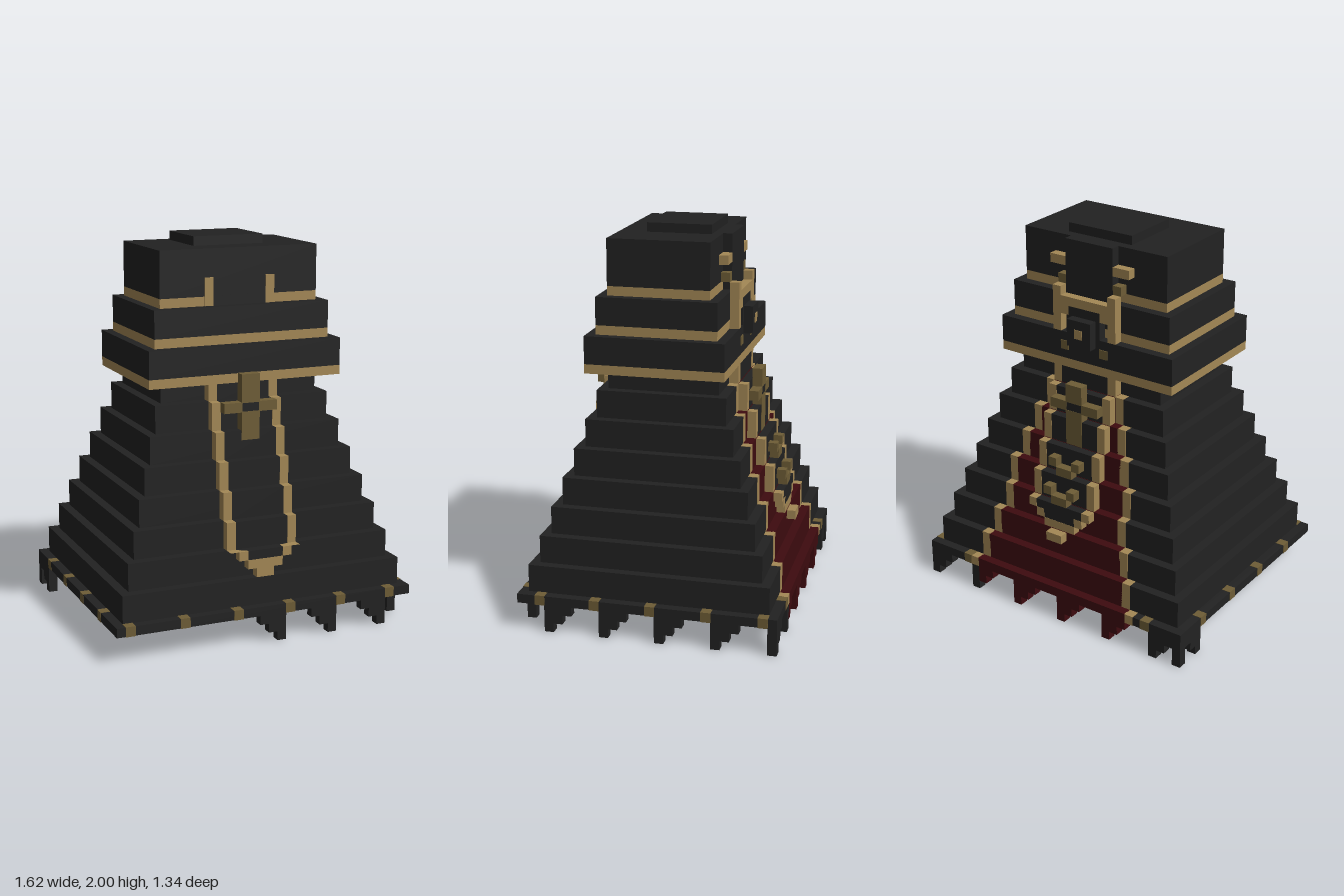
import * as THREE from 'three';

const U = 1 / 21; // edge of one block
const mat = (name, color) => {
  const m = new THREE.MeshStandardMaterial({ color });
  m.name = name;
  return m;
};

export function createModel() {
  const dark = mat('charcoal', 0x222222);
  const gold = mat('gold', 0xa48855);
  const brown = mat('bronze', 0x6e5d36);
  const red = mat('darkRed', 0x3e0b0f);
  const model = new THREE.Group();
  model.name = 'robe';

  // Box from block coordinates; g grows it slightly so it covers what it paints
  const box = (name, m, x0, x1, y0, y1, z0, z1, g = 0) => {
    const geo = new THREE.BoxGeometry((x1 - x0 + 2 * g) * U, (y1 - y0 + 2 * g) * U, (z1 - z0 + 2 * g) * U);
    const mesh = new THREE.Mesh(geo, m);
    mesh.position.set((x0 + x1) / 2 * U, (y0 + y1) / 2 * U, (z0 + z1) / 2 * U);
    mesh.name = name;
    model.add(mesh);
  };
  const pair = (name, m, x0, x1, ...rest) => {
    box(name, m, x0, x1, ...rest);
    box(name, m, -x1, -x0, ...rest);
  };
  // Hollow rectangular course of wall
  const ring = (name, m, x, y0, y1, zb, zf, t = 1.03) => {
    box(name, m, -x, x, y0, y1, zf - t, zf);
    box(name, m, -x, x, y0, y1, zb, zb + t);
    pair(name, m, x - t, x, y0, y1, zb + t, zf - t);
  };

  // Skirt tiers with the red back panel and its gold borders
  const P = 0.04;
  const borders = [10, 9, 8, 8, 7, 6, 5];
  for (let k = 0; k < 8; k++) {
    const y0 = 4 + 3 * k, y1 = Math.min(y0 + 3, 27), z = 13 - k;
    ring('skirtTier', dark, 16 - k, y0, y1, -z, z);
    if (k < 7) {
      const b = borders[k];
      box('backPanel', red, 1 - b, b - 1, y0, y1, -z, 1 - z, P);
      pair('backPanelBorder', gold, b - 1, b, y0, y1, -z, 1 - z, P);
    }
    // Hanging tabs, front and back
    if (k > 0) {
      const f0 = Math.max(y0, 10), b0 = Math.max(y0, 12);
      pair('frontTabBorder', gold, 3, 4, f0, y1, z, z + 1);
      box('frontTab', dark, -3, 3, f0, y1, z, z + 0.98);
      if (b0 < y1) {
        pair('backTabBorder', gold, 3, 4, b0, y1, -z - 1, -z);
        box('backTab', dark, -3, 3, b0, y1, -z - 0.98, -z);
      }
    }
  }

  // Pointed lower ends of the tabs
  pair('frontTabCorner', gold, 2, 3, 9, 10, 12, 13);
  box('frontTab', dark, -2, 2, 9, 10, 12, 12.98);
  box('frontTabTip', gold, -2, 2, 8, 9, 12, 13);
  box('frontTabTip', gold, -1, 1, 7, 8, 12, 13);
  pair('backTabCorner', gold, 2, 3, 11, 12, -12, -11);
  box('backTab', dark, -2, 2, 11, 12, -11.98, -11);
  box('backTabTip', gold, -2, 2, 10, 11, -12, -11);
  box('backTabTip', gold, -1, 1, 9, 10, -13, -12);

  // Cross ornaments
  const cross = (y0, y1, ya, z) => {
    box('crossTop', brown, -1, 1, ya + 1, y1, z, z + 1, P);
    box('crossBottom', brown, -1, 1, y0, ya, z, z + 1, P);
    pair('crossArm', brown, 1, 3, ya, ya + 1, z, z + 1, P);
    box('crossCentre', dark, -1, 1, ya, ya + 1, z, z + 1);
  };
  cross(21, 28, 24, 8);
  cross(19, 26, 23, -9);

  // Cup-shaped ornaments on the back tab
  for (const [y, z] of [[16, -11], [13, -12]]) {
    box('cupOrnament', brown, -1, 1, y, y + 1, z, z + 1);
    pair('cupOrnament', brown, 1, 2, y + 1, y + 2, z, z + 1);
  }

  // Hem with bronze studs
  ring('hem', dark, 17, 3, 4, -14, 14);
  box('hemBackPanel', red, -10, 10, 3, 4, -14, -13, P);
  pair('hemBackBorder', gold, 10, 11, 3, 4, -14, -13, P);
  for (let s = -16; s <= 14; s += 6) box('hemStud', brown, s, s + 1, 3, 4, 13, 14, P);
  for (const s of [-13, 11]) box('hemStud', brown, s, s + 1, 3, 4, -14, -13, P);
  for (let s = -13; s <= 11; s += 6) box('hemStud', brown, 16, 17, 3, 4, s, s + 1, P);
  for (let s = -10; s <= 8; s += 6) box('hemStud', brown, -17, -16, 3, 4, s, s + 1, P);

  // Ragged fringe: teeth of three columns, each one block longer
  for (let i = 0; i < 3; i++) {
    const y = 2 - i;
    for (const s of [-1, 5, 11]) box('frontFringe', dark, s + i, s + i + 1, y, 3, 13, 14);
    for (let s = -16; s <= 14; s += 6) {
      const x = s + i;
      box('backFringe', x >= -10 && x < 10 ? red : dark, x, x + 1, y, 3, -14, -13);
    }
    for (const s of [10, 4, -2, -8]) {
      const z = s - 2 + i;
      box('leftFringe', dark, 16, 17, y, 3, z, z + 1);
    }
    box('rightFringe', dark, -17, -16, y, 3, i - 13, i - 12);
  }
  box('cornerFringe', dark, -17, -16, 0, 3, -14, -13);

  // Two shoulder collars with gold lower edges
  ring('lowerCollarTrim', gold, 11, 27, 28, -7, 8, 2.05);
  ring('lowerCollar', dark, 11, 28, 31, -7, 8, 2.05);
  ring('upperCollarTrim', gold, 10, 31, 32, -6, 7, 2.05);
  ring('upperCollar', dark, 10, 32, 35, -6, 7, 2.05);

  // Hood, its trim and cap
  box('hoodTrim', gold, -9, 9, 35, 36, -5, 6);
  box('hood', dark, -9, 9, 36, 41, -5, 6);
  box('hoodOpening', dark, -3, 3, 35, 36, 5, 6, P);
  pair('hoodOpeningTrim', gold, 3, 4, 35, 38, 5.9, 6.1);
  box('cap', dark, -4, 4, 41, 42, -4, 3);

  // Back of the hood: raised panel with clasps
  box('hoodBackPanel', dark, -3, 3, 35, 41, -6, -5);
  pair('hoodClasp', gold, 3, 5, 38, 39, -6, -5);
  pair('hoodClasp', brown, 3, 4, 36, 37, -6, -5);

  // Back medallion and its frame
  pair('medallionFrame', gold, 3, 4, 31, 36, -7, -6);
  box('medallionFrame', gold, -3, 3, 34, 35, -7, -6);
  pair('medallionFrame', gold, 2, 3, 33, 34, -7, -6);
  box('medallionBack', dark, -2, 2, 31, 34, -7, -6);
  box('medallion', dark, -1.5, 1.5, 30, 33, -8, -7);
  box('medallionGem', gold, -0.5, 0.5, 31, 32, -8.08, -8);
  pair('collarStud', brown, 2, 3, 29, 30, -7.1, -7);
  return model;
}
